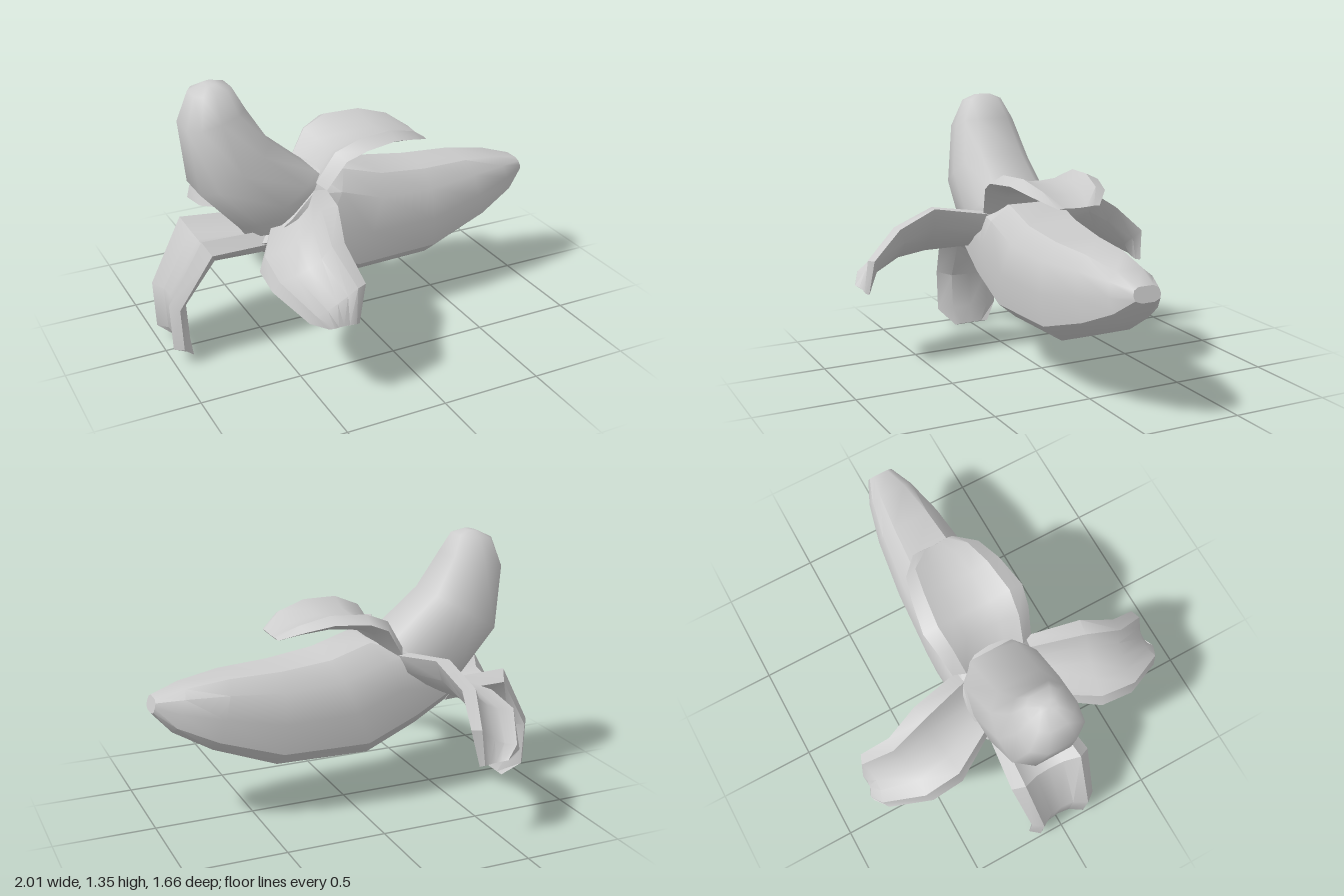
import * as THREE from 'three';
import { toCreasedNormals } from 'three/addons/utils/BufferGeometryUtils.js';

const V = (x, y, z) => new THREE.Vector3(x, y, z);
const grey = new THREE.MeshStandardMaterial({ color: 0xcccccc });
grey.name = 'plain grey';

// Skin closed rings of points into a capped solid whose faces point outwards
function loft(name, rings, crease) {
  const n = rings[0].length, pts = rings.flat(), index = [];
  for (let r = 0; r < rings.length - 1; r++) {
    for (let i = 0; i < n; i++) {
      const a = r * n + i, b = r * n + (i + 1) % n;
      index.push(a, b, a + n, b, b + n, a + n);
    }
  }
  const last = (rings.length - 1) * n;
  [0, last].forEach((start) => {
    const c = pts.length;
    const ring = pts.slice(start, start + n);
    pts.push(ring.reduce((s, p) => s.add(p), V(0, 0, 0)).divideScalar(n));
    for (let i = 0; i < n; i++) {
      const a = start + i, b = start + (i + 1) % n;
      index.push(...(start ? [a, b, c] : [b, a, c]));
    }
  });
  let volume = 0;
  for (let i = 0; i < index.length; i += 3) {
    volume += pts[index[i]].dot(V(0, 0, 0).crossVectors(pts[index[i + 1]], pts[index[i + 2]]));
  }
  if (volume < 0) index.reverse();
  const geo = new THREE.BufferGeometry().setFromPoints(pts);
  geo.setIndex(index);
  const mesh = new THREE.Mesh(toCreasedNormals(geo, crease), grey);
  mesh.name = name;
  return mesh;
}

// Ten-sided section between a low point and a high point, w = half width
const OUTLINE = [[0, 0.47], [0.17, 0.92], [0.5, 1], [0.82, 0.9], [1, 0.55]];
function section([x0, y0, x1, y1, w]) {
  const at = (s, k) => V(x0 + (x1 - x0) * s, y0 + (y1 - y0) * s, w * k);
  return [
    ...OUTLINE.map(([s, k]) => at(s, k)),
    ...OUTLINE.slice().reverse().map(([s, k]) => at(s, -k)),
  ];
}

// Flap section: position across the width, and offset towards the skin side
const TROUGH = [
  [0, 0], [0.14, -0.4], [0.32, 0], [0.5, 0.08], [0.68, 0], [0.86, -0.4],
  [1, 0], [0.8, 0.55], [0.5, 0.62], [0.2, 0.55],
];
// Thick trough-shaped flap between two edge lines, with a depth at each step
function flap(name, edges, depths) {
  const mids = edges.map(([a, b]) => a.clone().lerp(b, 0.5));
  const rings = edges.map(([a, b], i) => {
    const along = mids[Math.min(i + 1, mids.length - 1)].clone().sub(mids[Math.max(i - 1, 0)]);
    const down = b.clone().sub(a).cross(along).normalize();
    return TROUGH.map(([t, d]) => a.clone().lerp(b, t).addScaledVector(down, d * depths[i]));
  });
  return loft(name, rings, 0.7);
}

export function createModel() {
  const model = new THREE.Group();
  model.name = 'peeledBanana';

  // Unpeeled lower half, from the opening to the blunt end
  model.add(loft('skinBody', [
    [-0.59, 0.53, -0.22, 0.84, 0.22],
    [-0.35, 0.395, -0.09, 0.855, 0.24],
    [-0.08, 0.275, 0.12, 0.79, 0.24],
    [0.40, 0.28, 0.37, 0.76, 0.212],
    [0.72, 0.40, 0.63, 0.75, 0.175],
    [0.91, 0.51, 0.84, 0.72, 0.125],
    [1.00, 0.61, 0.98, 0.68, 0.07],
  ].map(section), 0.7));

  // Bare fruit rising out of the opening
  model.add(loft('fruit', [
    [-0.58, 0.57, -0.18, 0.82, 0.20],
    [-0.63, 0.64, -0.24, 0.865, 0.22],
    [-0.81, 0.84, -0.46, 1.05, 0.205],
    [-0.85, 1.16, -0.57, 1.23, 0.155],
    [-0.80, 1.31, -0.62, 1.33, 0.095],
    [-0.73, 1.345, -0.68, 1.35, 0.04],
  ].map(section), 1.1));

  // Flap folded back over the body
  const across = ([x, y, w]) => [V(x, y, w), V(x, y, -w)];
  model.add(flap('topFlap', [
    [-0.22, 0.80, 0.22], [-0.13, 0.94, 0.25], [-0.03, 0.985, 0.27],
    [0.14, 0.995, 0.24], [0.28, 0.965, 0.20], [0.385, 0.915, 0.11],
  ].map(across), [0.09, 0.1, 0.09, 0.08, 0.06, 0.01]));

  // Flap hanging down beyond the opening
  model.add(flap('hangingFlap', [
    [-0.52, 0.56, 0.18], [-0.81, 0.58, 0.215], [-0.97, 0.31, 0.178],
    [-0.96, 0.09, 0.178], [-0.89, 0.005, 0.10],
  ].map(across).map(([a, b]) => [b, a]), [0.13, 0.15, 0.1, 0.1, 0.01]));

  // Mirrored flaps spreading to both sides
  const sideEdges = [
    [[-0.52, 0.59, 0.19], [-0.21, 0.79, 0.19]],
    [[-0.65, 0.55, 0.40], [-0.28, 0.83, 0.46]],
    [[-0.66, 0.53, 0.57], [-0.33, 0.73, 0.63]],
    [[-0.57, 0.45, 0.77], [-0.30, 0.59, 0.78]],
    [[-0.50, 0.43, 0.82], [-0.34, 0.41, 0.80]],
  ];
  for (const side of [1, -1]) {
    const edges = sideEdges.map(([p, q]) => {
      const pair = [p, q].map(([x, y, z]) => V(x, y, z * side));
      return side > 0 ? pair : pair.reverse();
    });
    model.add(flap(side > 0 ? 'frontFlap' : 'backFlap', edges, [0.1, 0.11, 0.1, 0.07, 0.03]));
  }
  return model;
}
